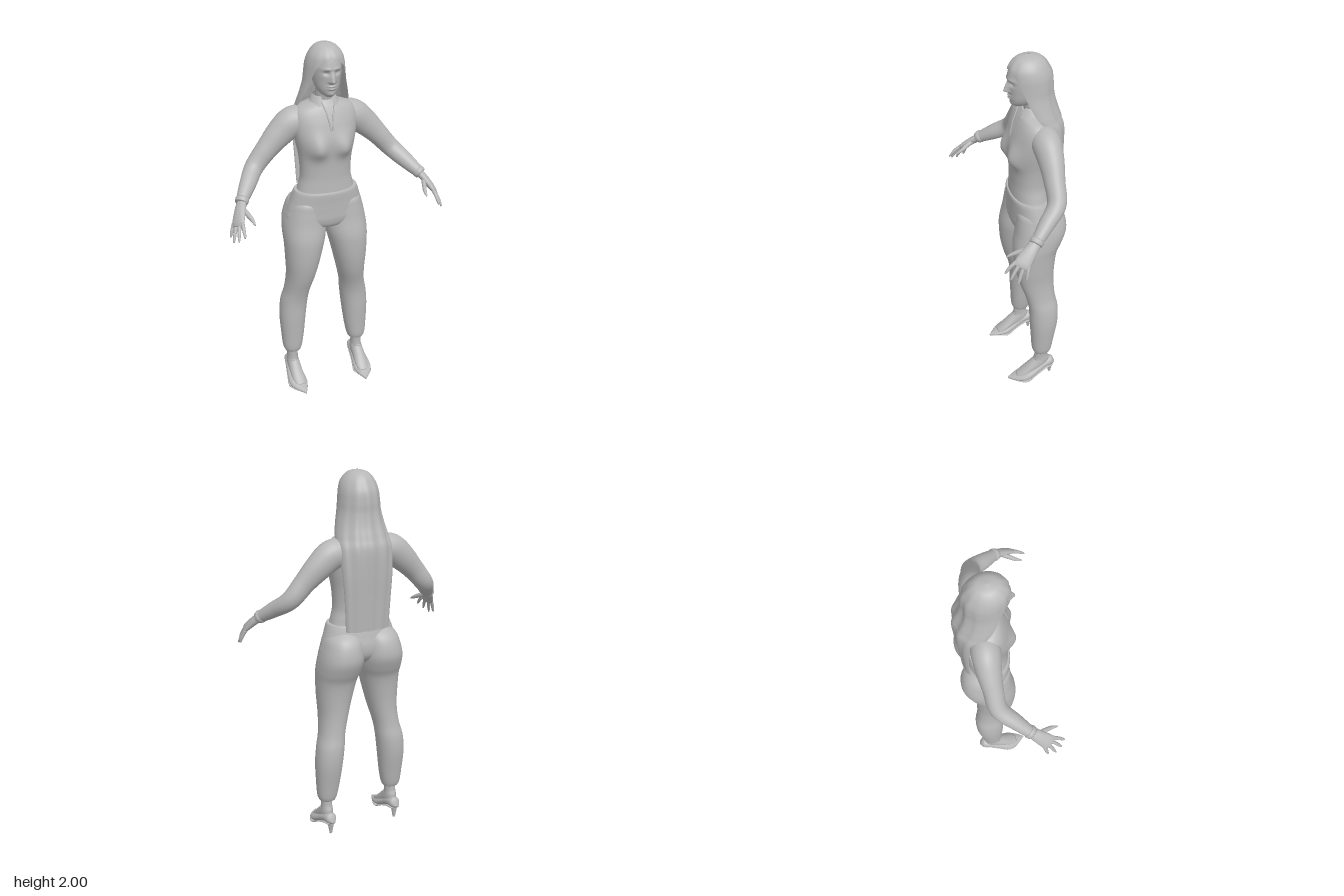
import * as THREE from 'three';

const clay = new THREE.MeshStandardMaterial({ color: 0xb8b8b8, side: THREE.DoubleSide });
clay.name = 'plain grey';

// Smooth interpolation through rows of numbers, t from 0 to 1
function spline(rows, t) {
  const last = rows.length - 1;
  const i = Math.min(Math.floor(t * last), last - 1);
  const u = t * last - i;
  const at = k => rows[Math.max(0, Math.min(last, k))];
  return rows[0].map((_, c) => {
    const [a, b, d, e] = [at(i - 1)[c], at(i)[c], at(i + 1)[c], at(i + 2)[c]];
    return b + 0.5 * u * (d - a + u * (2 * a - 5 * b + 4 * d - e + u * (3 * (b - d) + e - a)));
  });
}

// Surface from a list of cross-sections; closed ones are capped at both ends
function skin(name, sections, closed = true) {
  if (closed) {
    const cap = s => {
      const c = s.reduce((sum, p) => sum.add(p), new THREE.Vector3()).divideScalar(s.length);
      return s.map(() => c);
    };
    sections = [cap(sections[0]), ...sections, cap(sections[sections.length - 1])];
  }
  const n = sections[0].length, index = [];
  for (let i = 0; i < sections.length - 1; i++) {
    for (let j = 0; j < (closed ? n : n - 1); j++) {
      const k = (j + 1) % n, a = i * n + j, b = i * n + k;
      index.push(a, b, a + n, b, b + n, a + n);
    }
  }
  const geometry = new THREE.BufferGeometry().setFromPoints(sections.flat());
  geometry.setIndex(index);
  geometry.computeVertexNormals();
  const mesh = new THREE.Mesh(geometry, clay);
  mesh.name = name;
  return mesh;
}

const steps = n => Array.from({ length: n + 1 }, (_, i) => i / n);

// Body loft, rows from top to bottom: [y, xMin, xMax, zBack, zFront]
function loft(name, rows, { rowsN = 40, cols = 40, power = 0.9, shape } = {}) {
  const sq = v => Math.sign(v) * Math.abs(v) ** power;
  return skin(name, steps(rowsN).map(t => {
    const [y, x0, x1, z0, z1] = spline(rows, t);
    return Array.from({ length: cols }, (_, j) => {
      const a = (j / cols) * Math.PI * 2;
      const p = new THREE.Vector3((x0 + x1) / 2 + (x1 - x0) / 2 * sq(Math.cos(a)), y,
        (z0 + z1) / 2 + (z1 - z0) / 2 * sq(Math.sin(a)));
      if (shape) shape(p, Math.sin(a));
      return p;
    });
  }));
}

// Limb sweep, rows along the path: [x, y, z, radius toward ref, other radius]
function sweep(name, rows, ref = [0, 0, 1], rowsN = 24, cols = 20) {
  const r = new THREE.Vector3(...ref);
  const point = t => new THREE.Vector3(...spline(rows, t).slice(0, 3));
  return skin(name, steps(rowsN).map(t => {
    const [x, y, z, r1, r2] = spline(rows, t);
    const dir = point(Math.min(1, t + 0.01)).sub(point(Math.max(0, t - 0.01))).normalize();
    const n = r.clone().cross(dir).normalize();
    const b = dir.clone().cross(n);
    return Array.from({ length: cols }, (_, j) => {
      const a = (j / cols) * Math.PI * 2;
      return new THREE.Vector3(x, y, z).addScaledVector(b, r1 * Math.cos(a)).addScaledVector(n, -r2 * Math.sin(a));
    });
  }));
}

// Open wrap around the back, rows: [y, halfWidth, zCentre, depth, halfAngle]
function wrap(name, rows, rowsN, cols, ripple = 0) {
  return skin(name, steps(rowsN).map(t => {
    const [y, w, zc, d, a] = spline(rows, t);
    return steps(cols).map(s => {
      const q = Math.min(a, Math.PI) * (2 * s - 1);
      const k = 1 + ripple * t * Math.cos(q * 11);
      return new THREE.Vector3(w * Math.sin(q), y, zc - d * k * Math.cos(q));
    });
  }), false);
}

const bump = (d, s) => Math.exp(-((d / s) ** 2));

// Face relief: nose, eye sockets, brow and lips
function face(p, front) {
  if (front <= 0) return;
  const x = Math.abs(p.x), y = p.y;
  const nose = y > 1.823 ? Math.max(0, 1 - (y - 1.823) / 0.055) : bump(y - 1.823, 0.01);
  p.z += 0.029 * nose * bump(x, 0.011 + 0.004 * nose);
  p.z -= 0.011 * bump(x - 0.028, 0.015) * bump(y - 1.866, 0.011);
  p.z += 0.004 * bump(x - 0.025, 0.025) * bump(y - 1.886, 0.008);
  p.z += 0.009 * bump(x, 0.018) * (bump(y - 1.796, 0.005) + bump(y - 1.783, 0.005));
  p.z += 0.005 * bump(x, 0.02) * bump(y - 1.752, 0.012);
}

// Chest relief and a shallow line down the spine
function chest(p, front) {
  const x = Math.abs(p.x);
  if (front > 0) p.z += 0.036 * front * bump(x - 0.078, 0.05) * bump(p.y - 1.455, p.y > 1.455 ? 0.07 : 0.045);
  else p.z += 0.012 * bump(x, 0.03) * -front;
}

function makeArm() {
  const arm = new THREE.Group();
  arm.add(sweep('sleeve', [[.09, 1.6, -.1, .07, .07], [.165, 1.588, -.1, .073, .08], [.235, 1.535, -.1, .064, .072],
    [.31, 1.46, -.093, .052, .058], [.385, 1.375, -.08, .047, .05], [.445, 1.315, -.008, .04, .043],
    [.5, 1.26, .063, .029, .03]], [0, 0.3, 1], 40, 28));
  const across = [0.47, -0.28, -0.84];
  arm.add(sweep('cuff', [[.49, 1.272, .05, .032, .032], [.495, 1.266, .057, .036, .035], [.504, 1.256, .068, .033, .031]], across, 6));
  arm.add(sweep('palm', [[.49, 1.27, .05, .026, .022], [.52, 1.23, .1, .035, .02], [.543, 1.19, .143, .041, .015],
    [.553, 1.172, .158, .034, .008]], across));
  // Fingers from the index to the little one
  const tips = [[.535, 1.14, .232], [.562, 1.115, .212], [.581, 1.098, .18], [.585, 1.11, .138]];
  tips.forEach((tip, i) => {
    const base = [.545, 1.186, .146].map((v, c) => v + across[c] * (i - 1.5) * 0.021);
    const mix = (k, lift) => base.map((v, c) => v + (tip[c] - v) * k + (c === 1 ? lift : 0));
    arm.add(sweep('finger', [[...base, .011, .01], [...mix(.45, .006), .0095, .009], [...mix(.8, .003), .008, .007],
      [...tip, .004, .004]], across, 12, 10));
  });
  arm.add(sweep('thumb', [[.51, 1.24, .09, .014, .013], [.492, 1.222, .135, .014, .012], [.478, 1.203, .175, .01, .01],
    [.474, 1.188, .206, .004, .004]], across, 12, 10));
  return arm;
}

function makeLeg() {
  const leg = new THREE.Group();
  leg.add(loft('trouserLeg', [[1.185, .05, .14, -.15, -.02], [1.15, .012, .19, -.2, .025], [1.1, .003, .212, -.226, .034],
    [1.03, -.002, .23, -.233, .042], [.96, .005, .236, -.208, .055], [.9, .02, .234, -.18, .059], [.8, .045, .23, -.165, .052],
    [.7, .07, .226, -.16, .032], [.6, .095, .235, -.165, 0], [.52, .105, .254, -.178, -.016], [.42, .116, .263, -.175, -.02],
    [.3, .13, .258, -.155, -.026], [.225, .143, .252, -.142, -.03], [.197, .152, .243, -.132, -.038]], { rowsN: 60 }));
  leg.add(sweep('foot', [[.2, .24, -.08, .034, .038], [.2, .16, -.082, .03, .038], [.2, .115, -.08, .034, .05],
    [.2, .08, -.03, .036, .034], [.197, .045, .025, .036, .02], [.194, .025, .06, .025, .012]], [1, 0, 0]));
  leg.add(sweep('shoe', [[.2, .1, -.16, .012, .02], [.2, .095, -.145, .03, .03], [.201, .088, -.1, .037, .028],
    [.203, .062, -.05, .044, .025], [.203, .035, 0, .052, .027], [.2, .023, .035, .05, .021],
    [.193, .014, .075, .032, .014], [.186, .008, .115, .003, .006]], [1, 0, 0], 32));
  leg.add(sweep('sole', [[.2, .066, -.15, .025, .006], [.201, .058, -.1, .035, .006], [.203, .034, -.045, .044, .005],
    [.203, .006, .005, .053, .006], [.199, .006, .045, .047, .006], [.186, .005, .116, .003, .004]], [1, 0, 0], 24));
  const heel = new THREE.Mesh(new THREE.CylinderGeometry(0.022, 0.007, 0.085, 16), clay);
  heel.name = 'heel';
  heel.position.set(0.2, 0.0425, -0.138);
  leg.add(heel);
  return leg;
}

export function createModel() {
  const model = new THREE.Group();
  model.name = 'standingWoman';

  // Head and neck
  const head = new THREE.Group();
  head.name = 'head';
  head.add(loft('face', [[1.98, -.03, .03, -.09, 0], [1.95, -.065, .065, -.14, .03], [1.9, -.075, .075, -.155, .046],
    [1.86, -.075, .075, -.15, .046], [1.82, -.071, .071, -.14, .041], [1.78, -.06, .06, -.11, .037],
    [1.752, -.043, .043, -.09, .03], [1.735, -.02, .02, -.06, .015]], { rowsN: 90, cols: 128, power: 0.95, shape: face }));
  head.add(sweep('neck', [[0, 1.63, -.1, .055, .058], [0, 1.7, -.085, .046, .046], [0, 1.8, -.065, .045, .048]], [1, 0, 0]));
  for (const side of [-1, 1]) {
    const eye = new THREE.Mesh(new THREE.SphereGeometry(0.01, 20, 12), clay);
    eye.name = 'eye';
    eye.scale.set(1.2, 0.6, 0.7);
    eye.position.set(side * 0.028, 1.866, 0.023);
    head.add(eye);
  }

  // Long hair, open around the face and falling down the back
  const P = Math.PI;
  head.add(wrap('hair', [[2, .003, -.06, .003, P], [1.99, .042, -.06, .052, P], [1.97, .068, -.06, .08, P],
    [1.94, .088, -.06, .1, P], [1.9, .1, -.066, .112, 2.45], [1.85, .106, -.07, .115, 2.2], [1.8, .112, -.072, .115, 2.05],
    [1.74, .126, -.083, .115, 1.9], [1.68, .14, -.105, .112, 1.75], [1.62, .146, -.145, .088, 1.6],
    [1.5, .14, -.178, .053, 1.57], [1.35, .13, -.182, .04, 1.57], [1.195, .122, -.178, .036, 1.57]], 90, 80, 0.07));
  model.add(head);

  // Shirt, collar and neck opening
  model.add(loft('shirt', [[1.705, -.05, .05, -.13, -.03], [1.69, -.085, .085, -.15, -.018], [1.67, -.14, .14, -.165, -.005],
    [1.635, -.17, .17, -.178, .012], [1.58, -.175, .175, -.185, .031], [1.5, -.163, .163, -.18, .046],
    [1.4, -.144, .144, -.165, .036], [1.3, -.138, .138, -.156, .032], [1.24, -.15, .15, -.16, .034],
    [1.185, -.165, .165, -.165, .037]], { rowsN: 60, cols: 72, shape: chest }));
  model.add(wrap('collar', [[1.725, .056, -.085, .056, 2.6], [1.715, .064, -.085, .064, 2.65], [1.68, .084, -.08, .082, 2.72]], 8, 40));
  for (const side of [-1, 1]) {
    model.add(sweep('neckOpening', [[side * .034, 1.7, -.018, .004, .004], [side * .018, 1.645, .012, .004, .004],
      [side * .003, 1.56, .038, .003, .003]], [1, 0, 0], 10, 8));
  }

  // Trouser top
  model.add(loft('trouserTop', [[1.215, -.172, .172, -.168, .041], [1.2, -.179, .179, -.174, .045], [1.15, -.196, .196, -.186, .043],
    [1.1, -.212, .212, -.196, .042], [1.05, -.215, .215, -.19, .04], [1.01, -.13, .13, -.16, .025], [.985, -.04, .04, -.12, -.02]],
    { cols: 56 }));

  // Paired limbs
  for (const [name, make] of [['Arm', makeArm], ['Leg', makeLeg]]) {
    for (const side of [1, -1]) {
      const limb = make();
      limb.name = (side > 0 ? 'left' : 'right') + name;
      limb.scale.x = side;
      model.add(limb);
    }
  }
  return model;
}
